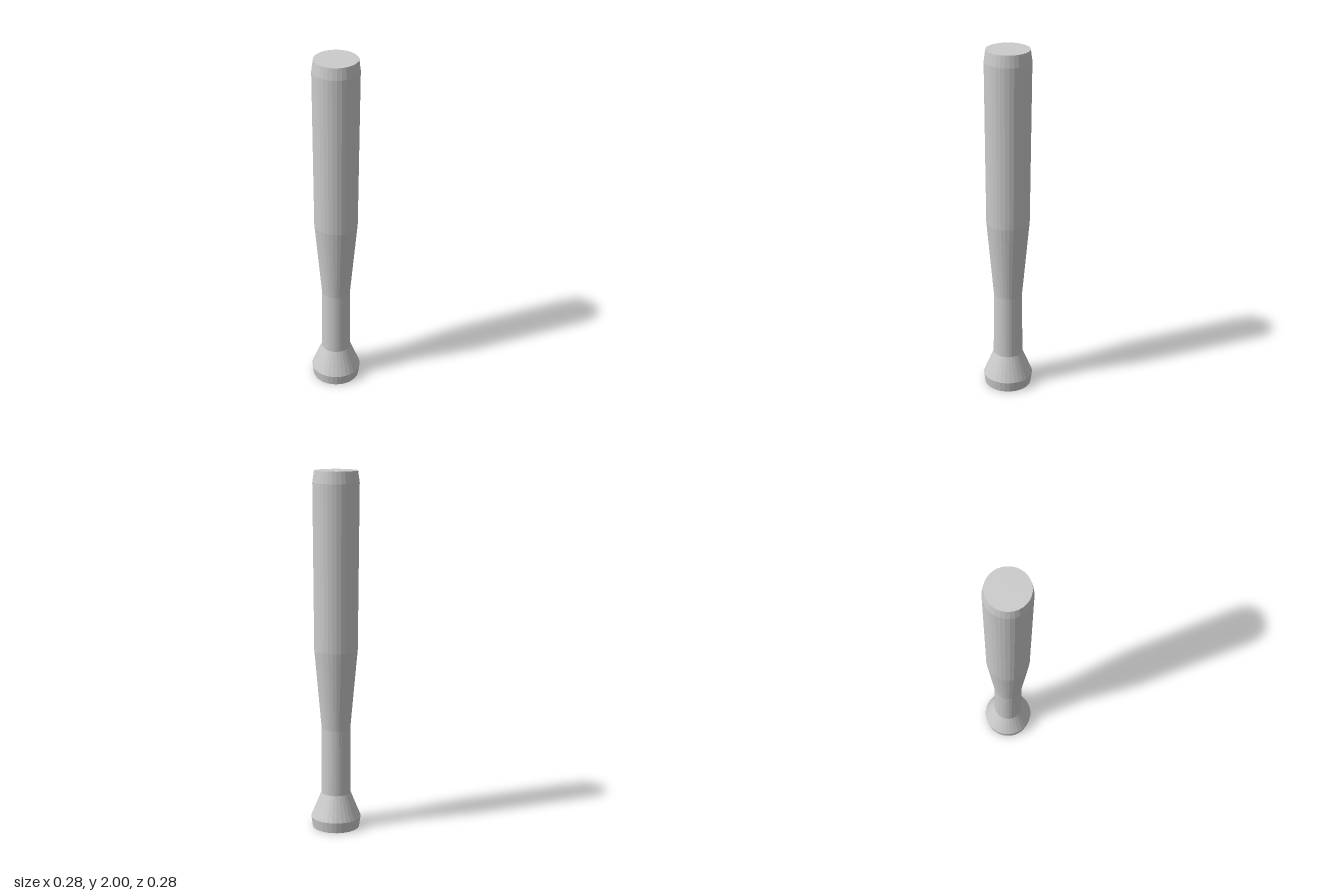
import * as THREE from 'three';

const SIDES = 32;

export function createModel() {
  const model = new THREE.Group();
  model.name = 'bat';
  const material = new THREE.MeshStandardMaterial({ color: 0xcccccc, flatShading: true });

  // Each part is a lathe through [radius, height] points, bottom to top
  const addPart = (name, profile) => {
    const points = profile.map(([r, y]) => new THREE.Vector2(r, y));
    const mesh = new THREE.Mesh(new THREE.LatheGeometry(points, SIDES), material);
    mesh.name = name;
    model.add(mesh);
  };

  // Flared knob with a closed base
  addPart('knob', [[0, 0], [0.132, 0], [0.14, 0.06], [0.083, 0.2]]);
  // Slim grip
  addPart('handle', [[0.083, 0.2], [0.08, 0.575]]);
  // Widening section between grip and barrel
  addPart('taper', [[0.08, 0.575], [0.12, 1.02]]);
  // Barrel with a bevelled, flat end
  addPart('barrel', [[0.12, 1.02], [0.127, 1.935], [0.118, 2], [0, 2]]);

  return model;
}
